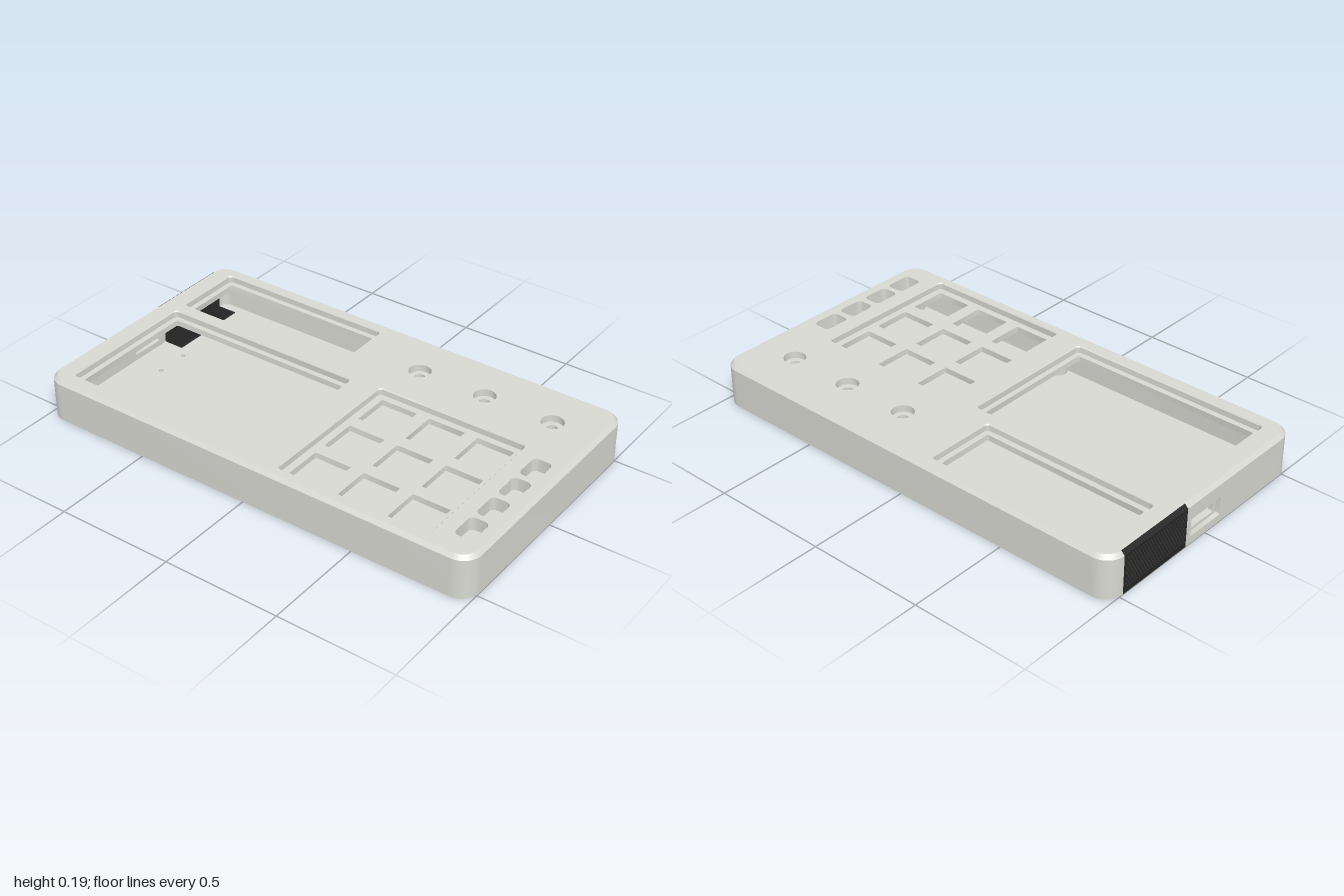
import * as THREE from 'three';
import { toCreasedNormals } from 'three/addons/utils/BufferGeometryUtils.js';

const W = 0.56, L = 1, R = 0.08, WALL = 0.04;
const FLOOR = 0.02, LID = 0.13, RECESS = 0.155, LIP = 0.18, EDGE = 0.169, TOP = 0.185;

// Rounded rectangle, counter-clockwise, optionally grown by g
function rounded([x0, x1, z0, z1], r, g = 0) {
  x0 -= g; z0 -= g; x1 += g; z1 += g;
  r += g;
  const s = new THREE.Shape();
  s.moveTo(x0 + r, z0);
  s.lineTo(x1 - r, z0);
  s.absarc(x1 - r, z0 + r, r, -Math.PI / 2, 0);
  s.lineTo(x1, z1 - r);
  s.absarc(x1 - r, z1 - r, r, 0, Math.PI / 2);
  s.lineTo(x0 + r, z1);
  s.absarc(x0 + r, z1 - r, r, Math.PI / 2, Math.PI);
  s.lineTo(x0, z0 + r);
  s.absarc(x0 + r, z0 + r, r, Math.PI, Math.PI * 1.5);
  return s;
}

// Sharp rectangle
const box = (x0, x1, y0, y1) => new THREE.Shape([[x0, y0], [x1, y0], [x1, y1], [x0, y1]]
  .map(([x, y]) => new THREE.Vector2(x, y)));

function circle(x, z, r) {
  const s = new THREE.Shape();
  s.absarc(x, z, r, 0, Math.PI * 2);
  return s;
}

// Honeycomb of small hexagonal holes
function honeycomb(x0, x1, y0, y1) {
  const pitch = 0.0145, r = 0.006, rowStep = pitch * 0.87, out = [];
  for (let row = 0, y = y0 + r; y <= y1 - r; y += rowStep, row++) {
    for (let x = x0 + r + (row % 2) * pitch / 2; x <= x1 - r; x += pitch) {
      const pts = [];
      for (let k = 0; k < 6; k++) {
        const a = (k + 0.5) * Math.PI / 3;
        pts.push(new THREE.Vector2(x + r * Math.cos(a), y + r * Math.sin(a)));
      }
      out.push(new THREE.Shape(pts));
    }
  }
  return out;
}

const extrude = (shape, holes, depth) => {
  shape.holes.push(...holes);
  return toCreasedNormals(new THREE.ExtrudeGeometry(shape,
    { depth, bevelEnabled: false, curveSegments: 8 }), 0.6);
};

// Horizontal slab between two heights; shape y becomes z
const slab = (shape, holes, y0, y1) =>
  extrude(shape, holes, y1 - y0).rotateX(Math.PI / 2).translate(0, y1, 0);

// Outline points with coincident neighbours removed
const ring = shape => shape.getPoints(8).filter((p, i, all) =>
  p.distanceTo(all[(i + 1) % all.length]) > 1e-6);

// Sloped strip joining two matching outlines
function band(a, ya, b, yb) {
  const p = ring(a), q = ring(b), pos = [];
  for (let i = 0; i < p.length; i++) {
    const j = (i + 1) % p.length;
    const A = [p[i].x, ya, p[i].y], A2 = [p[j].x, ya, p[j].y];
    const B = [q[i].x, yb, q[i].y], B2 = [q[j].x, yb, q[j].y];
    pos.push(...A, ...B, ...A2, ...B, ...B2, ...A2);
  }
  const g = new THREE.BufferGeometry();
  g.setAttribute('position', new THREE.Float32BufferAttribute(pos, 3));
  return toCreasedNormals(g, 0.6);
}

export function createModel() {
  const model = new THREE.Group();
  model.name = 'deviceCase';
  const shell = new THREE.MeshStandardMaterial({ color: 0xd8d8d2 });
  shell.name = 'warmGrey';
  const black = new THREE.MeshStandardMaterial({ color: 0x262626 });
  black.name = 'ventBlack';
  const add = (name, geometry, material = shell) => {
    const m = new THREE.Mesh(geometry, material);
    m.name = name;
    model.add(m);
  };

  const outline = (inset = 0) => rounded([-W, W, -L, L], R, -inset);
  const windows = [[-0.463, 0.11, -0.883, -0.023], [0.217, 0.476, -0.883, -0.133]];
  const recesses = [[-0.488, 0.134, -0.908, 0], [0.192, 0.5, -0.908, -0.109], [-0.508, 0.155, 0.128, 0.795]];
  const knobX = 0.348, knobs = [0.188, 0.493, 0.798];

  // Slots for the small button row
  const slots = () => [-0.453, -0.309, -0.161, -0.014].map(x => rounded([x, x + 0.12, 0.862, 0.942], 0.022));

  // Square openings of the keypad
  const keys = [];
  for (const x of [-0.477, -0.257, -0.037])
    for (const z of [0.16, 0.381, 0.601]) keys.push(rounded([x, x + 0.163, z, z + 0.163], 0.003));

  // Lid in three layers: chamfered lip, recess walls, recess floor
  add('lidTop', slab(outline(0.016), [
    ...recesses.map(b => rounded(b, 0.02, 0.004)),
    ...knobs.map(z => circle(knobX, z, 0.047)), ...slots()], LIP, TOP));
  add('lidRecess', slab(outline(0.016), [
    ...recesses.map(b => rounded(b, 0.02)),
    ...knobs.map(z => circle(knobX, z, 0.047)), ...slots()], RECESS, LIP));
  add('lidPlate', slab(outline(0.016), [
    ...windows.map(b => rounded(b, 0.008)), ...keys,
    ...knobs.map(z => circle(knobX, z, 0.023)), ...slots()], LID, RECESS));
  add('rimChamfer', band(outline(), EDGE, outline(0.016), TOP));
  for (const b of recesses)
    add('recessChamfer', band(rounded(b, 0.02, 0.004), TOP, rounded(b, 0.02), LIP));

  // Side and front walls, open along the back where the panels sit
  const ri = R - WALL, cx = W - R, cz = L - R, gap = -0.1, H = Math.PI / 2;
  const u = new THREE.Shape();
  u.moveTo(cx, -L);
  u.absarc(cx, -cz, R, -H, 0);
  u.absarc(cx, cz, R, 0, H);
  u.absarc(-cx, cz, R, H, 2 * H);
  u.absarc(-cx, -cz, R, 2 * H, 3 * H);
  u.lineTo(gap, -L);
  u.lineTo(gap, -L + WALL);
  u.absarc(-cx, -cz, ri, 3 * H, 2 * H, true);
  u.absarc(-cx, cz, ri, 2 * H, H, true);
  u.absarc(cx, cz, ri, H, 0, true);
  u.absarc(cx, -cz, ri, 0, -H, true);
  add('sideWalls', slab(u, [], FLOOR, EDGE));

  // Black vent wrapping the back wall, its chamfer and the floor edge
  const ventX = 0.115, ventZ = -0.87;
  add('backVent', extrude(box(ventX, cx, FLOOR, EDGE),
    honeycomb(ventX + 0.003, cx - 0.002, FLOOR + 0.002, EDGE - 0.003), WALL).translate(0, 0, -L), black);
  add('floorVent', slab(box(ventX, cx, -L, ventZ),
    honeycomb(ventX + 0.003, cx - 0.002, -L + 0.004, ventZ - 0.002), 0, FLOOR), black);
  add('ventChamfer', new THREE.BoxGeometry(cx - ventX, 0.0226, 0.002).rotateX(Math.PI / 4)
    .translate((cx + ventX) / 2, (EDGE + TOP) / 2, -L + 0.008), black);

  // Stepped cable port
  add('portRecess', extrude(box(gap, ventX, FLOOR, EDGE),
    [rounded([-0.09, 0.09, 0.032, 0.108], 0.008)], 0.02).translate(0, 0, -L));
  add('portOpening', extrude(box(gap, ventX, FLOOR, EDGE),
    [rounded([-0.073, 0.073, 0.045, 0.097], 0.006)], 0.02).translate(0, 0, -L + 0.02));

  // Floor notched around the vent, with screw holes and two peg holes
  const screws = [[-0.49, 0.92], [0.49, 0.92], [-0.49, -0.94], [0.49, 0.095], [0.49, 0.495], [-0.49, 0.1]];
  const floorPoints = ring(outline());
  floorPoints.splice(1, 0, new THREE.Vector2(ventX, -L),
    new THREE.Vector2(ventX, ventZ), new THREE.Vector2(cx, ventZ));
  add('floor', slab(new THREE.Shape(floorPoints), [
    ...screws.map(([x, z]) => circle(x, z, 0.021)),
    ...[-0.07, 0.07].map(x => circle(x, -0.825, 0.01))], 0, FLOOR));

  // Hollow screw posts
  for (const [x, z] of screws)
    add('screwPost', slab(circle(x, z, 0.035), [circle(x, z, 0.013)], FLOOR, 0.09));

  return model;
}
